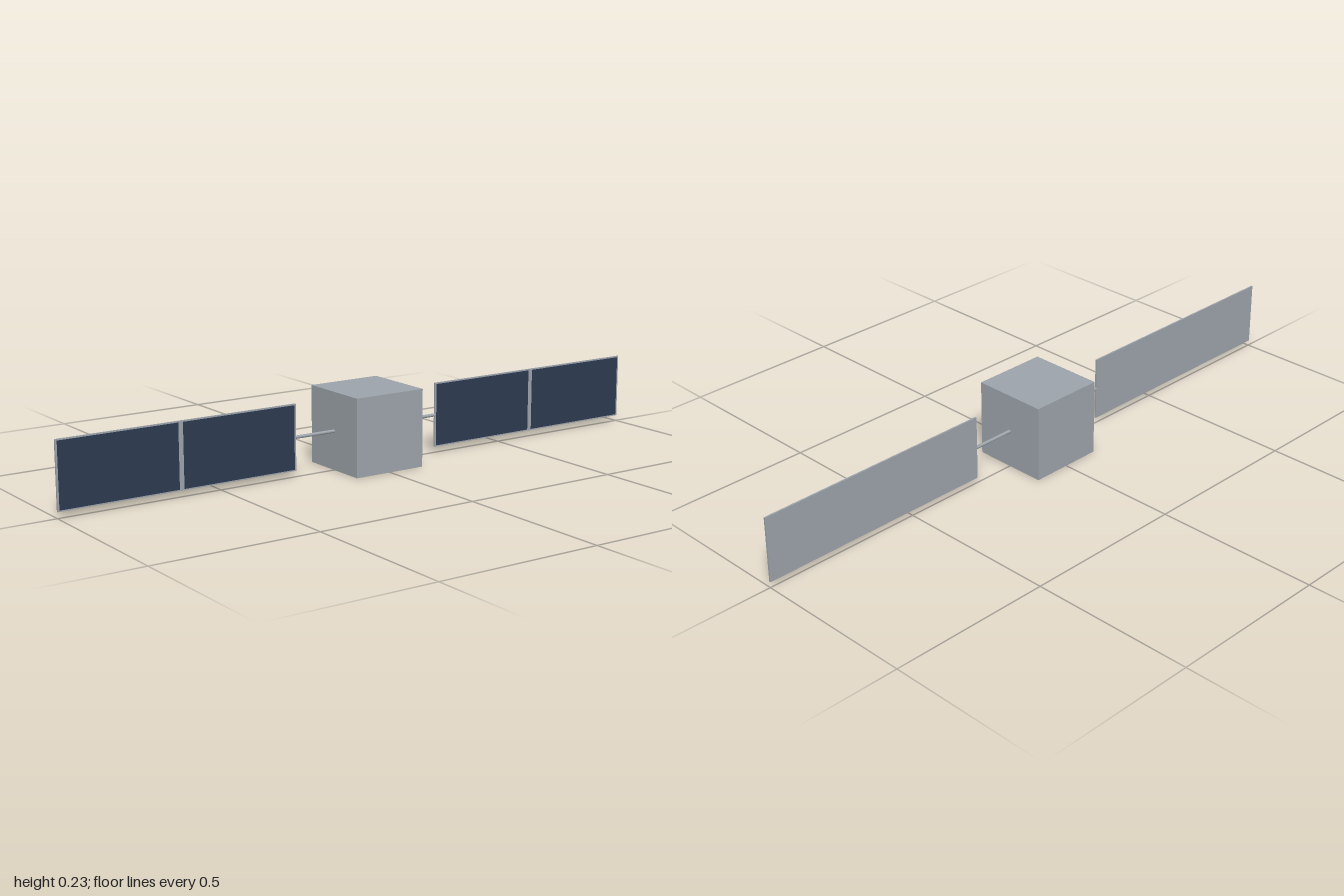
import * as THREE from 'three';

export function createModel() {
  const model = new THREE.Group();
  model.name = 'satellite';
  const metal = new THREE.MeshStandardMaterial({ color: 0x9ca3aa });
  metal.name = 'grey metal';
  const solar = new THREE.MeshStandardMaterial({ color: 0x2c3a4f });
  solar.name = 'navy solar cell';

  const midY = 0.117;
  const add = (parent, name, geometry, material, x, y, z) => {
    const mesh = new THREE.Mesh(geometry, material);
    mesh.name = name;
    mesh.position.set(x, y, z);
    parent.add(mesh);
    return mesh;
  };

  // Cubic body
  add(model, 'body', new THREE.BoxGeometry(0.234, 0.234, 0.234), metal, 0, midY, 0);

  // One wing on each side: boom, backing panel and two cell plates
  for (const side of [-1, 1]) {
    const wing = new THREE.Group();
    wing.name = side > 0 ? 'leftWing' : 'rightWing';
    model.add(wing);

    const boom = add(wing, 'boom', new THREE.CylinderGeometry(0.005, 0.005, 0.14, 16),
      metal, side * 0.181, midY, 0);
    boom.rotation.z = Math.PI / 2;

    add(wing, 'panel', new THREE.BoxGeometry(0.75, 0.198, 0.005), metal, side * 0.625, midY, 0);

    for (const x of [0.4365, 0.8135]) {
      add(wing, 'solarCells', new THREE.BoxGeometry(0.362, 0.19, 0.001),
        solar, side * x, midY, 0.0028);
    }
  }
  return model;
}
